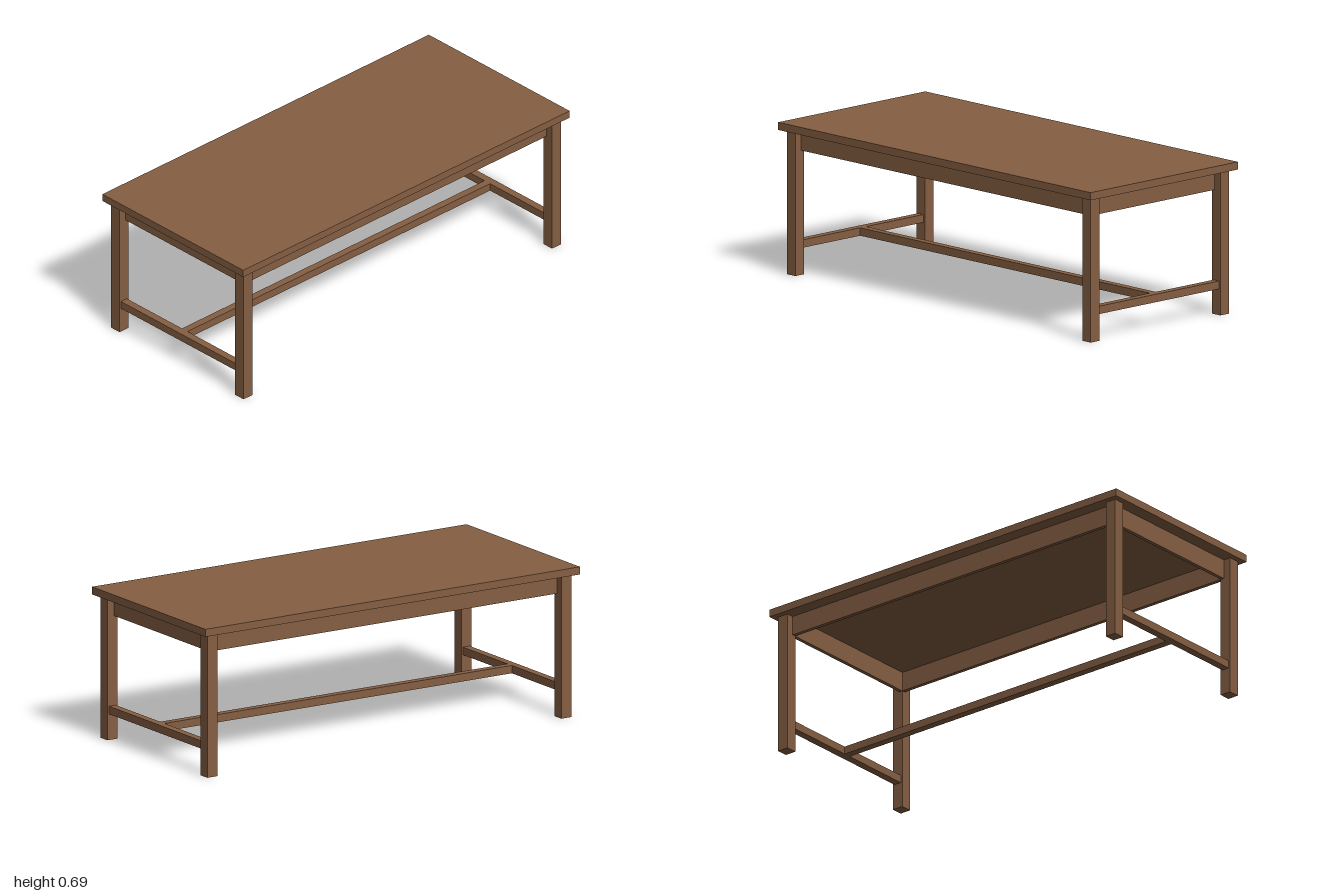
import * as THREE from 'three';

export function createModel() {
  const table = new THREE.Group();
  table.name = 'table';
  const wood = new THREE.MeshStandardMaterial({ color: 0x855e42 });
  wood.name = 'brown wood';

  // Box given by its size, its centre in x and z, and its bottom height
  function board(name, w, h, d, x, bottom, z) {
    const mesh = new THREE.Mesh(new THREE.BoxGeometry(w, h, d), wood);
    mesh.name = name;
    mesh.position.set(x, bottom + h / 2, z);
    table.add(mesh);
  }

  const LEG = 0.054, LEG_H = 0.656;
  const LEG_X = 0.945, LEG_Z = 0.4;           // leg centres
  const IN_X = LEG_X - LEG / 2, IN_Z = LEG_Z - LEG / 2; // inner leg faces
  const APRON_H = 0.09, APRON_T = 0.018;
  const BAR = 0.036, BAR_Y = 0.119;

  board('tableTop', 2, 0.035, 0.908, 0, LEG_H, 0);

  for (const s of [-1, 1]) {
    const side = s > 0 ? 'left' : 'right';
    const end = s > 0 ? 'front' : 'back';
    // Legs
    for (const t of [-1, 1]) {
      board(`${t > 0 ? 'front' : 'back'}Leg ${side}`, LEG, LEG_H, LEG, s * LEG_X, 0, t * LEG_Z);
    }
    // Aprons, flush with the inner faces of the legs
    board(`${end}Apron`, 2 * IN_X, APRON_H, APRON_T, 0, LEG_H - APRON_H, s * (IN_Z + APRON_T / 2));
    board(`${side}Apron`, APRON_T, APRON_H, 2 * IN_Z, s * (IN_X + APRON_T / 2), LEG_H - APRON_H, 0);
    // End stretcher between each pair of legs
    board(`${side}Stretcher`, BAR, BAR, 2 * IN_Z, s * LEG_X, BAR_Y, 0);
  }

  // Long stretcher joining the end stretchers
  board('longStretcher', 2 * LEG_X - BAR, BAR, BAR, 0, BAR_Y, 0);

  return table;
}
